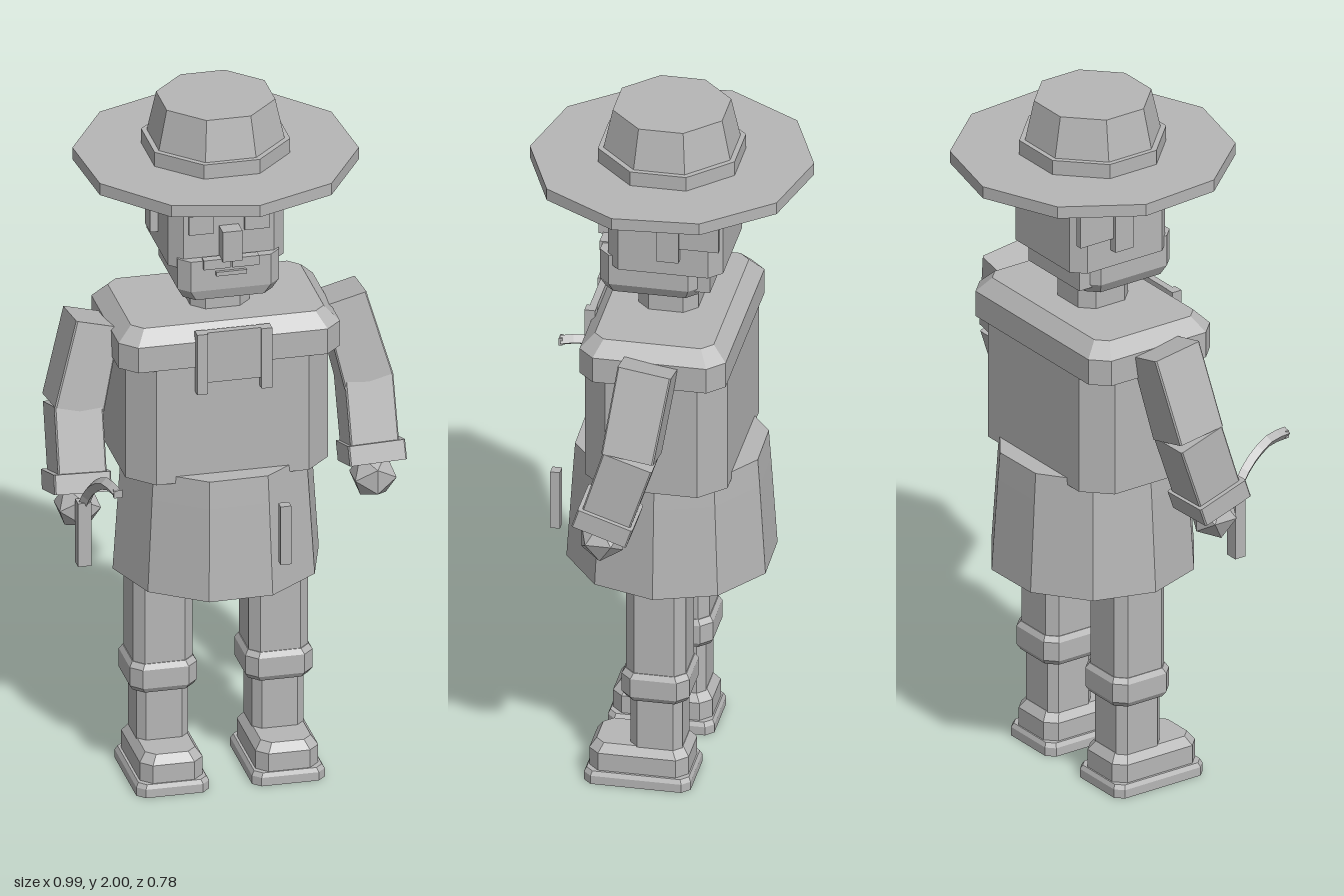
import * as THREE from 'three';

const grey = new THREE.MeshStandardMaterial({ color: 0xb6b6b6 });
grey.name = 'plain grey';

// Split faces so every facet is flat
function add(parent, name, geometry, x = 0, y = 0, z = 0) {
  const g = geometry.index ? geometry.toNonIndexed() : geometry;
  g.computeVertexNormals();
  const mesh = new THREE.Mesh(g, grey);
  mesh.name = name;
  mesh.position.set(x, y, z);
  parent.add(mesh);
  return mesh;
}

const box = (parent, name, w, h, d, x, y, z) =>
  add(parent, name, new THREE.BoxGeometry(w, h, d), x, y, z);

// Stack of chamfered rectangles; each ring is [y, half width, half depth, corner cut]
function loft(rings) {
  const pos = [], idx = [];
  for (const [y, w, d, c] of rings) {
    const corners = [[w - c, d], [w, d - c], [w, c - d], [w - c, -d],
      [c - w, -d], [-w, c - d], [-w, d - c], [c - w, d]];
    for (const [x, z] of corners) pos.push(x, y, z);
  }
  const last = (rings.length - 1) * 8;
  for (let r = 0; r < last; r += 8) {
    for (let i = 0; i < 8; i++) {
      const j = (i + 1) % 8;
      idx.push(r + i, r + j, r + 8 + j, r + i, r + 8 + j, r + 8 + i);
    }
  }
  for (let i = 1; i < 7; i++) {
    idx.push(0, i + 1, i, last, last + i, last + i + 1);
  }
  const g = new THREE.BufferGeometry();
  g.setAttribute('position', new THREE.Float32BufferAttribute(pos, 3));
  g.setIndex(idx);
  return g;
}

// Limb piece with its base at `low`, pointing towards `high`
function limb(parent, name, low, high, rings) {
  const mesh = add(parent, name, loft(rings), low.x, low.y, low.z);
  const dir = high.clone().sub(low).normalize();
  mesh.quaternion.setFromUnitVectors(new THREE.Vector3(0, 1, 0), dir);
  return mesh;
}

function part(parent, name) {
  const g = new THREE.Group();
  g.name = name;
  parent.add(g);
  return g;
}

function buildHat(root) {
  const hat = part(root, 'hat');
  const brim = add(hat, 'hatBrim', new THREE.CylinderGeometry(0.39, 0.39, 0.035, 10), 0, 1.825, 0);
  brim.rotation.y = 0.078;
  add(hat, 'hatBand', loft([[1.84, 0.19, 0.19, 0.112], [1.885, 0.19, 0.19, 0.112]]));
  add(hat, 'hatCrown', loft([[1.885, 0.176, 0.176, 0.105], [2.0, 0.152, 0.152, 0.09]]));
}

function buildHead(root) {
  const head = part(root, 'head');
  add(head, 'neck', loft([[1.38, 0.083, 0.083, 0.035], [1.5, 0.083, 0.083, 0.035]]));
  add(head, 'skull', loft([[1.56, 0.162, 0.16, 0.035], [1.82, 0.162, 0.16, 0.035]]), 0, 0, -0.008);
  add(head, 'jaw', loft([[1.47, 0.125, 0.13, 0.03], [1.5, 0.142, 0.14, 0.03], [1.59, 0.142, 0.14, 0.03]]), 0, 0, 0.037);
  box(head, 'nape', 0.24, 0.09, 0.14, 0, 1.535, -0.06);
  for (const s of [1, -1]) {
    box(head, 'ear', 0.025, 0.12, 0.06, s * 0.172, 1.67, -0.025);
    box(head, 'hairSide', 0.02, 0.15, 0.16, s * 0.166, 1.725, -0.085);
    box(head, 'sideburn', 0.02, 0.09, 0.09, s * 0.148, 1.61, 0.06);
    box(head, 'eye', 0.07, 0.055, 0.012, s * 0.078, 1.69, 0.155);
    box(head, 'eyebrow', 0.08, 0.018, 0.025, s * 0.072, 1.735, 0.158);
    box(head, 'moustache', 0.075, 0.028, 0.025, s * 0.04, 1.58, 0.173);
  }
  box(head, 'foreheadBand', 0.23, 0.018, 0.02, 0, 1.77, 0.155);
  box(head, 'nose', 0.055, 0.09, 0.05, 0, 1.635, 0.173);
  box(head, 'mouth', 0.085, 0.012, 0.012, 0, 1.55, 0.18);
}

function buildBody(root) {
  const body = part(root, 'body');
  add(body, 'chest', loft([[0.94, 0.284, 0.198, 0.07], [1.3, 0.284, 0.198, 0.07]]));
  add(body, 'shoulderYoke', loft([[1.285, 0.31, 0.203, 0.045], [1.36, 0.31, 0.203, 0.045], [1.4, 0.27, 0.165, 0.03]]));
  box(body, 'chestPanel', 0.19, 0.15, 0.02, 0, 1.315, 0.203);
  for (const s of [1, -1]) box(body, 'chestStrap', 0.03, 0.18, 0.03, s * 0.09, 1.3, 0.207);
  // Flared coat skirt with a steeper waistband
  const skirt = add(body, 'coatSkirt', new THREE.CylinderGeometry(0.272, 0.29, 0.27, 10), 0, 0.745, 0);
  const waist = add(body, 'waistband', new THREE.CylinderGeometry(0.266, 0.272, 0.08, 10), 0, 0.92, 0);
  skirt.rotation.y = waist.rotation.y = 0.33;
  box(body, 'sheath', 0.03, 0.175, 0.027, 0.122, 0.803, 0.297);
}

function buildLeg(root, s) {
  const leg = part(root, s > 0 ? 'leftLeg' : 'rightLeg');
  leg.position.x = s * 0.162;
  add(leg, 'thigh', loft([[0.34, 0.083, 0.083, 0.027], [0.68, 0.083, 0.083, 0.027]]));
  add(leg, 'kneeBand', loft([[0.265, 0.085, 0.085, 0.028], [0.28, 0.094, 0.094, 0.03],
    [0.335, 0.094, 0.094, 0.03], [0.35, 0.085, 0.085, 0.028]]));
  add(leg, 'shin', loft([[0.1, 0.072, 0.072, 0.022], [0.27, 0.072, 0.072, 0.022]]));
  add(leg, 'boot', loft([[0.03, 0.088, 0.138, 0.03], [0.09, 0.088, 0.138, 0.03],
    [0.115, 0.07, 0.12, 0.025]]), 0, 0, 0.047);
  add(leg, 'sole', loft([[0, 0.102, 0.148, 0.022], [0.025, 0.102, 0.148, 0.022],
    [0.037, 0.095, 0.142, 0.02]]), 0, 0, 0.047);
}

function buildArm(root, s) {
  const arm = part(root, s > 0 ? 'leftArm' : 'rightArm');
  const v = (x, y, z) => new THREE.Vector3(s * x, y, z);
  const shoulder = v(0.345, 1.375, -0.005), elbow = v(0.407, 1.13, 0.03);
  const wrist = v(0.41, 0.935, 0.093), cuff = v(0.414, 0.905, 0.104);
  limb(arm, 'upperArm', elbow, shoulder, [[0, 0.07, 0.073, 0.004], [0.25, 0.063, 0.075, 0.004]]);
  limb(arm, 'forearm', wrist, elbow, [[0, 0.068, 0.07, 0.004], [0.21, 0.068, 0.072, 0.004]]);
  limb(arm, 'cuff', cuff, elbow, [[0, 0.08, 0.08, 0.004], [0.055, 0.08, 0.08, 0.004]]);
  add(arm, 'hand', new THREE.IcosahedronGeometry(0.068, 0), s * 0.414, 0.865, 0.11);
}

function buildHook(root) {
  const hook = part(root, 'hookTool');
  box(hook, 'hookHandle', 0.038, 0.19, 0.034, -0.415, 0.815, 0.185);
  const path = new THREE.CatmullRomCurve3([
    [-0.413, 0.9, 0.183], [-0.405, 0.945, 0.21], [-0.393, 0.99, 0.26],
    [-0.38, 1.018, 0.32], [-0.365, 1.016, 0.385],
  ].map(p => new THREE.Vector3(...p)));
  const blade = add(hook, 'hookBlade', new THREE.TubeGeometry(path, 7, 0.017, 4));
  blade.name = 'hookBlade';
  // Blunt tip closing the end of the blade
  box(hook, 'hookTip', 0.024, 0.022, 0.01, -0.366, 1.016, 0.382);
}

export function createModel() {
  const root = new THREE.Group();
  root.name = 'hattedFigure';
  buildHat(root);
  buildHead(root);
  buildBody(root);
  for (const s of [1, -1]) {
    buildLeg(root, s);
    buildArm(root, s);
  }
  buildHook(root);
  return root;
}
